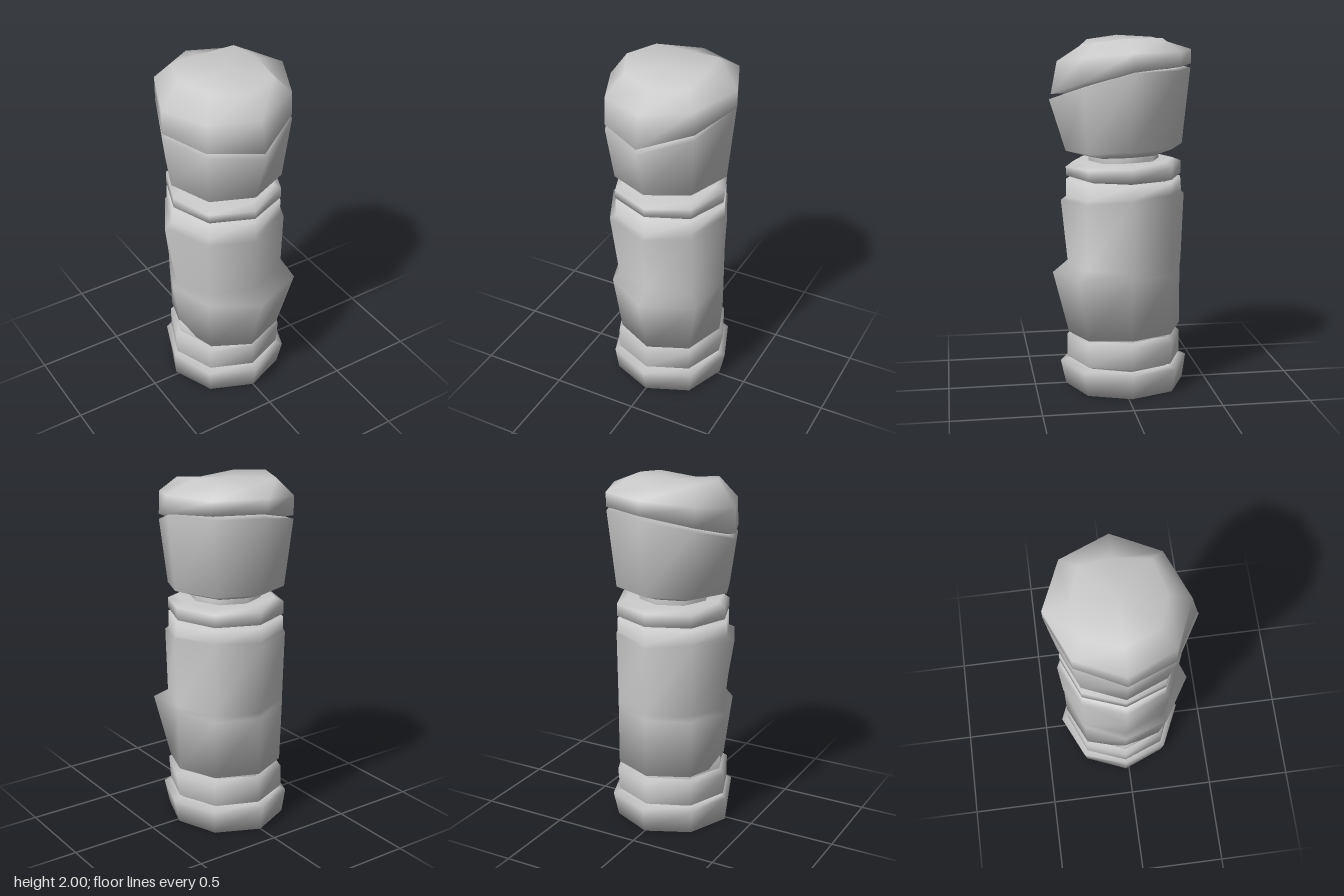
import * as THREE from 'three';

const SIDES = 8;
const CENTRE_Z = -0.02;
const material = new THREE.MeshStandardMaterial({ color: 0xcccccc });
const at = (v, i) => (Array.isArray(v) ? v[i] : v);

// Closed eight-sided loft. Each ring is [radius, height], each one number or
// one value per corner, counted from the front round by the left (+x).
function loft(name, rings) {
  const pos = [], index = [];
  for (const [r, y] of rings) {
    for (let i = 0; i < SIDES; i++) {
      const a = (i / SIDES) * Math.PI * 2;
      pos.push(Math.sin(a) * at(r, i), at(y, i), Math.cos(a) * at(r, i) + CENTRE_Z);
    }
  }
  const mean = (y) => (Array.isArray(y) ? y.reduce((s, v) => s + v, 0) / SIDES : y);
  const last = rings.length - 1;
  const bottom = rings.length * SIDES, top = bottom + 1;
  pos.push(0, mean(rings[0][1]), CENTRE_Z, 0, mean(rings[last][1]), CENTRE_Z);
  for (let i = 0; i < SIDES; i++) {
    const j = (i + 1) % SIDES;
    for (let k = 0; k < last; k++) {
      const a = k * SIDES + i, b = k * SIDES + j;
      index.push(a, b, b + SIDES, a, b + SIDES, a + SIDES);
    }
    index.push(j, i, bottom, last * SIDES + i, last * SIDES + j, top);
  }
  const geometry = new THREE.BufferGeometry();
  geometry.setAttribute('position', new THREE.Float32BufferAttribute(pos, 3));
  geometry.setIndex(index);
  geometry.computeVertexNormals();
  const mesh = new THREE.Mesh(geometry, material);
  mesh.name = name;
  return mesh;
}

export function createModel() {
  const group = new THREE.Group();
  group.name = 'stonePillar';

  // Foot and the ring above it
  group.add(loft('foot', [
    [[0.34, 0.34, 0.33, 0.34, 0.35, 0.34, 0.34, 0.34], 0],
    [[0.37, 0.37, 0.36, 0.37, 0.37, 0.36, 0.345, 0.36], 0.14],
    [0.31, 0.15],
  ]));
  group.add(loft('lowerCore', [[0.3, 0.1], [0.3, 0.4]]));
  group.add(loft('lowerRing', [
    [0.3, 0.155],
    [[0.33, 0.33, 0.32, 0.33, 0.33, 0.33, 0.325, 0.33], 0.165],
    [[0.33, 0.34, 0.345, 0.34, 0.33, 0.33, 0.33, 0.33], [0.3, 0.3, 0.3, 0.29, 0.29, 0.29, 0.28, 0.29]],
    [[0.3, 0.29, 0.27, 0.28, 0.27, 0.28, 0.29, 0.29], [0.31, 0.32, 0.33, 0.335, 0.34, 0.335, 0.33, 0.32]],
  ]));

  // Shaft: chipped lower bulge, flared upper slab, plain neck
  group.add(loft('shaft', [
    [[0.32, 0.33, 0.32, 0.33, 0.33, 0.32, 0.29, 0.31], [0.31, 0.32, 0.335, 0.34, 0.34, 0.34, 0.33, 0.32]],
    [[0.41, 0.425, 0.33, 0.33, 0.33, 0.33, 0.34, 0.36], [0.67, 0.68, 0.69, 0.68, 0.68, 0.68, 0.67, 0.67]],
    [[0.325, 0.34, 0.325, 0.33, 0.335, 0.33, 0.31, 0.32], [0.74, 0.73, 0.72, 0.72, 0.72, 0.72, 0.69, 0.72]],
    [[0.36, 0.35, 0.345, 0.335, 0.35, 0.34, 0.38, 0.365], [1.09, 1.1, 1.13, 1.13, 1.11, 1.12, 1.11, 1.1]],
    [[0.33, 0.33, 0.33, 0.33, 0.335, 0.33, 0.335, 0.33], [1.105, 1.12, 1.14, 1.14, 1.125, 1.13, 1.13, 1.12]],
    [0.328, 1.212],
  ]));

  // Collar and the narrow neck
  group.add(loft('collar', [
    [0.28, 1.215],
    [[0.33, 0.33, 0.32, 0.33, 0.33, 0.33, 0.32, 0.33], 1.23],
    [[0.33, 0.33, 0.33, 0.33, 0.33, 0.33, 0.32, 0.33], [1.28, 1.29, 1.305, 1.3, 1.3, 1.3, 1.29, 1.28]],
    [[0.29, 0.29, 0.27, 0.28, 0.28, 0.28, 0.28, 0.29], [1.31, 1.31, 1.32, 1.32, 1.32, 1.32, 1.32, 1.31]],
  ]));
  group.add(loft('neck', [[0.2, 1.18], [0.2, 1.42]]));

  // Head block with a slanting top
  group.add(loft('head', [
    [0.2, [1.335, 1.34, 1.35, 1.35, 1.35, 1.345, 1.34, 1.335]],
    [[0.33, 0.33, 0.335, 0.33, 0.335, 0.33, 0.33, 0.33], [1.37, 1.38, 1.4, 1.4, 1.4, 1.39, 1.38, 1.37]],
    [[0.42, 0.375, 0.378, 0.378, 0.38, 0.375, 0.375, 0.375], [1.66, 1.74, 1.825, 1.83, 1.825, 1.77, 1.69, 1.67]],
    [0.33, [1.69, 1.75, 1.83, 1.84, 1.84, 1.78, 1.71, 1.69]],
  ]));

  // Worn cap with a dipped crown
  group.add(loft('cap', [
    [0.32, [1.69, 1.75, 1.83, 1.84, 1.84, 1.78, 1.71, 1.69]],
    [[0.41, 0.375, 0.38, 0.38, 0.383, 0.375, 0.375, 0.375], [1.69, 1.77, 1.83, 1.85, 1.85, 1.79, 1.72, 1.7]],
    [[0.375, 0.37, 0.38, 0.38, 0.383, 0.375, 0.375, 0.37], [1.87, 1.9, 1.93, 1.93, 1.93, 1.9, 1.86, 1.86]],
    [[0.25, 0.27, 0.21, 0.26, 0.24, 0.28, 0.27, 0.26], [1.95, 1.98, 2, 2, 1.97, 1.99, 2, 1.98]],
  ]));

  return group;
}
